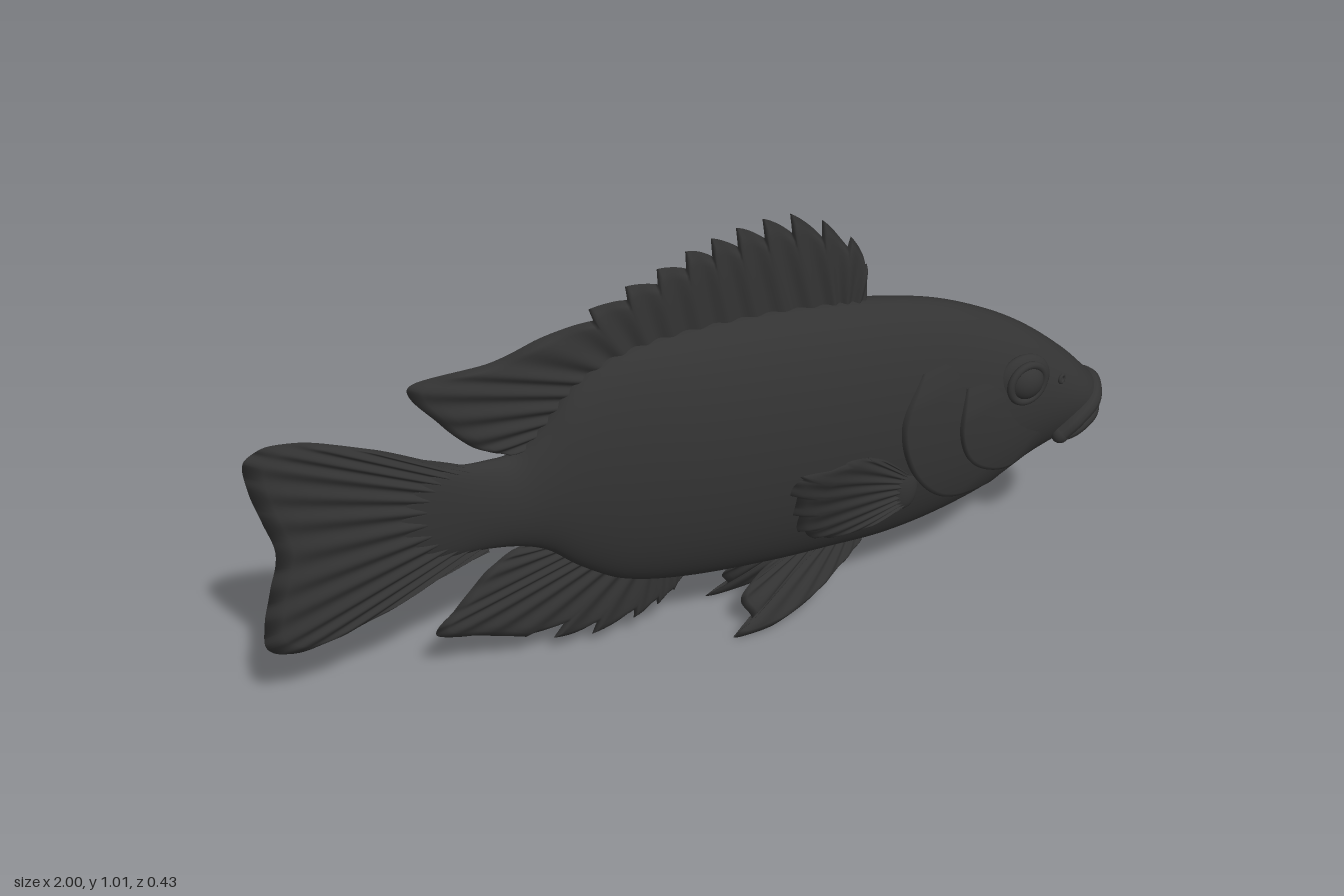
import * as THREE from 'three';
import { mergeVertices } from 'three/addons/utils/BufferGeometryUtils.js';

const skin = new THREE.MeshStandardMaterial({ color: 0x333333 });
skin.name = 'charcoal skin';

// Body stations: x, top, bottom, half width
const stations = [
  [-0.7, 0.5, 0.41, 0.004], [-0.62, 0.565, 0.35, 0.016], [-0.5, 0.565, 0.345, 0.038],
  [-0.43, 0.572, 0.335, 0.052], [-0.37, 0.63, 0.31, 0.064], [-0.3, 0.71, 0.25, 0.078],
  [-0.2, 0.765, 0.19, 0.097], [-0.05, 0.79, 0.16, 0.119], [0.15, 0.795, 0.15, 0.13],
  [0.3, 0.785, 0.152, 0.13], [0.43, 0.768, 0.155, 0.124], [0.57, 0.735, 0.18, 0.116],
  [0.7, 0.68, 0.225, 0.108], [0.8, 0.62, 0.285, 0.099], [0.9, 0.54, 0.33, 0.086],
  [0.95, 0.49, 0.358, 0.07], [0.98, 0.458, 0.385, 0.042],
];

// Smooth interpolation of one station column at x
function sample(x, col) {
  const n = stations.length;
  let i = 0;
  while (i < n - 2 && x > stations[i + 1][0]) i++;
  const slope = (k) => {
    const a = stations[Math.max(k - 1, 0)], b = stations[Math.min(k + 1, n - 1)];
    return (b[col] - a[col]) / (b[0] - a[0]);
  };
  const p = stations[i], q = stations[i + 1], d = q[0] - p[0];
  const t = (x - p[0]) / d, t2 = t * t, t3 = t2 * t;
  return (2 * t3 - 3 * t2 + 1) * p[col] + (t3 - 2 * t2 + t) * d * slope(i)
    + (3 * t2 - 2 * t3) * q[col] + (t3 - t2) * d * slope(i + 1);
}

// Half width of the body surface at a side position
function bodyZ(x, y) {
  const top = sample(x, 1), bottom = sample(x, 2);
  const k = (y - (top + bottom) / 2) / ((top - bottom) / 2);
  return sample(x, 3) * Math.sqrt(Math.max(0, 1 - k * k));
}

// Smooth surface from a rule over a grid
function gridMesh(name, nu, nv, rule, flip = false) {
  const pos = [], index = [];
  for (let i = 0; i <= nu; i++) for (let j = 0; j <= nv; j++) pos.push(...rule(i / nu, j / nv));
  for (let i = 0; i < nu; i++) for (let j = 0; j < nv; j++) {
    const a = i * (nv + 1) + j, b = a + nv + 1;
    if (flip) index.push(a, a + 1, b, b, a + 1, b + 1);
    else index.push(a, b, a + 1, b, b + 1, a + 1);
  }
  let geo = new THREE.BufferGeometry();
  geo.setAttribute('position', new THREE.Float32BufferAttribute(pos, 3));
  geo.setIndex(index);
  geo = mergeVertices(geo, 1e-5);
  geo.computeVertexNormals();
  return named(name, geo);
}

function named(name, geo) {
  const mesh = new THREE.Mesh(geo, skin);
  mesh.name = name;
  return mesh;
}

const curve = (pts) => new THREE.CatmullRomCurve3(pts.map(([x, y, z = 0]) => new THREE.Vector3(x, y, z)));

// Closed ribbed fin between a base line and an outer edge, with optional notched spines
function fin(name, base, edge, { rays = 12, half = 0.013, notch = 0, notchEnd = 1, side = 1, place = () => 0 }) {
  const b = curve(base), e = curve(edge);
  const b0 = b.getPoint(0), b1 = b.getPoint(1), bm = b.getPoint(0.5), em = e.getPoint(0.5);
  const turn = (b1.x - b0.x) * (em.y - bm.y) - (b1.y - b0.y) * (em.x - bm.x);
  return gridMesh(name, rays * 12, 24, (u, w) => {
    const v = 1 - Math.abs(2 * w - 1), f = (u * rays) % 1;
    const cut = u < notchEnd ? notch * Math.pow(1 - f, 1.5) * Math.min(1, u * 8) : 0;
    const p = b.getPoint(u).lerp(e.getPoint(u), v * (1 - cut));
    const rib = 0.7 + 0.3 * Math.cos(2 * Math.PI * f);
    const ends = Math.min(1, Math.sqrt(Math.min(u, 1 - u) * 25));
    const thick = half * rib * ends * Math.sqrt(1 - 0.96 * Math.pow(v, 5));
    return [p.x, p.y, side * (place(p.x, p.y) + (w < 0.5 ? thick : -thick))];
  }, (turn < 0) === (side > 0));
}

// Raised plate that follows the flank, lifted along its rear edge
function flankPlate(name, rear, front, lift, side) {
  const r = curve(rear), f = curve(front);
  return gridMesh(name, 36, 16, (u, w) => {
    const t = Math.max(0, (w - 0.08) / 0.92);
    const p = r.getPoint(u).lerp(f.getPoint(u), t);
    const rise = w === 0 ? -0.012 : lift * (1 - t) * Math.min(1, 0.2 + 5 * Math.min(u, 1 - u)) - 0.004 * t;
    return [p.x, p.y, side * (bodyZ(p.x, p.y) + rise)];
  }, side < 0);
}

const tube = (name, pts, radius) => named(name, new THREE.TubeGeometry(curve(pts), 40, radius, 10));

function ball(name, pos, scale) {
  const mesh = named(name, new THREE.SphereGeometry(1, 28, 18));
  mesh.position.set(...pos);
  mesh.scale.set(...scale);
  return mesh;
}

export function createModel() {
  const fish = new THREE.Group();
  fish.name = 'fish';

  // Body, closed at the nose
  const rows = 110;
  fish.add(gridMesh('body', rows, 56, (u, v) => {
    const x = -0.7 + 1.68 * Math.min(1, u * rows / (rows - 1)), s = u === 1 ? 0 : 1;
    const top = sample(x, 1), bottom = sample(x, 2), a = 2 * Math.PI * v - Math.PI / 2;
    return [x, (top + bottom) / 2 + s * Math.sin(a) * (top - bottom) / 2, s * Math.cos(a) * sample(x, 3)];
  }));

  // Fins on the centre line
  fish.add(fin('dorsalFin',
    [[0.38, 0.75], [0.3, 0.765], [0.1, 0.78], [-0.1, 0.765], [-0.25, 0.72], [-0.34, 0.64], [-0.41, 0.56]],
    [[0.385, 0.78], [0.375, 0.89], [0.3, 0.97], [0.205, 1.015], [0.125, 1.015], [0.05, 1.0], [-0.02, 0.98], [-0.1, 0.945],
      [-0.19, 0.91], [-0.3, 0.86], [-0.47, 0.8], [-0.65, 0.775], [-0.59, 0.68], [-0.52, 0.605], [-0.46, 0.575], [-0.41, 0.568]],
    { rays: 19, half: 0.015, notch: 0.2, notchEnd: 0.63 }));
  fish.add(fin('analFin',
    [[-0.04, 0.18], [-0.15, 0.2], [-0.25, 0.25], [-0.32, 0.3], [-0.38, 0.345]],
    [[-0.05, 0.15], [-0.09, 0.1], [-0.16, 0.065], [-0.3, 0.045], [-0.42, 0.08], [-0.53, 0.115], [-0.63, 0.145],
      [-0.58, 0.205], [-0.5, 0.29], [-0.43, 0.33], [-0.37, 0.338]],
    { rays: 14, notch: 0.2, notchEnd: 0.4 }));
  const tailTop = [[-0.56, 0.57], [-0.62, 0.593], [-0.74, 0.652], [-0.875, 0.7], [-0.955, 0.705], [-0.997, 0.68], [-0.995, 0.61], [-0.975, 0.53]];
  const flipY = ([x, y]) => [x, 0.89 - y];
  fish.add(fin('tailFin',
    [[-0.5, 0.555], [-0.52, 0.445], [-0.5, 0.335]],
    [...tailTop, [-0.955, 0.445], ...tailTop.map(flipY).reverse()],
    { rays: 16, half: 0.014 }));

  for (const side of [1, -1]) {
    const label = side > 0 ? 'left' : 'right';
    const at = (x, y, out) => [x, y, side * (bodyZ(x, y) + out)];

    // Paired fins
    fish.add(fin(label + 'PectoralFin',
      [[0.455, 0.375], [0.46, 0.33], [0.44, 0.28]],
      [[0.44, 0.385], [0.355, 0.455], [0.275, 0.49], [0.125, 0.49], [0.137, 0.4], [0.165, 0.31], [0.235, 0.26], [0.33, 0.25], [0.43, 0.275]],
      { rays: 11, half: 0.009, notch: 0.05, side,
        place: (x, y) => 0.107 + Math.min(1, Math.max(0, (0.46 - x) / 0.25)) * (0.022 + 0.34 * (y - 0.25)) }));
    fish.add(ball(label + 'PectoralRoot', at(0.445, 0.33, -0.006), [0.035, 0.055, 0.018]));
    fish.add(fin(label + 'PelvicFin',
      [[0.385, 0.175], [0.29, 0.175], [0.2, 0.175]],
      [[0.385, 0.155], [0.33, 0.115], [0.25, 0.06], [0.14, 0.015], [0.04, 0.01], [0.09, 0.04], [0.07, 0.085], [0.11, 0.125], [0.19, 0.16]],
      { rays: 9, half: 0.01, side, place: (x, y) => 0.025 + (0.165 - y) * 0.4 }));

    // Gill cover and cheek
    fish.add(flankPlate(label + 'GillCover',
      [[0.48, 0.62], [0.425, 0.51], [0.455, 0.38], [0.55, 0.28], [0.7, 0.255]],
      [[0.62, 0.64], [0.63, 0.54], [0.65, 0.46], [0.7, 0.4], [0.8, 0.35]], 0.013, side));
    fish.add(flankPlate(label + 'Cheek',
      [[0.59, 0.56], [0.575, 0.45], [0.61, 0.365], [0.7, 0.315], [0.79, 0.325]],
      [[0.72, 0.56], [0.74, 0.5], [0.77, 0.46], [0.8, 0.43], [0.84, 0.4]], 0.012, side));

    // Eye with raised rim
    fish.add(ball(label + 'EyeSocket', at(0.745, 0.54, -0.006), [0.066, 0.064, 0.024]));
    fish.add(ball(label + 'Eye', at(0.745, 0.54, 0.004), [0.043, 0.043, 0.032]));
    const rim = named(label + 'EyeRim', new THREE.TorusGeometry(0.046, 0.009, 10, 36));
    rim.position.set(...at(0.745, 0.54, 0.014));
    rim.rotation.y = side * 0.12;
    fish.add(rim);

    // Nostril
    const nostril = named(label + 'Nostril', new THREE.TorusGeometry(0.009, 0.004, 8, 16));
    nostril.position.set(...at(0.85, 0.515, 0.002));
    nostril.rotation.y = side * 0.5;
    fish.add(nostril);
  }

  // Lips
  const lip = (pts) => [...pts, ...pts.slice(0, -1).reverse().map(([x, y, z]) => [x, y, -z])];
  fish.add(tube('upperLip', lip([[0.865, 0.365, 0.078], [0.9, 0.395, 0.081], [0.95, 0.428, 0.062], [0.976, 0.447, 0]]), 0.021));
  fish.add(tube('lowerLip', lip([[0.865, 0.355, 0.07], [0.9, 0.363, 0.072], [0.955, 0.386, 0.052], [0.98, 0.398, 0]]), 0.019));
  for (const s of [1, -1]) fish.add(ball('mouthCorner', [0.865, 0.36, s * 0.075], [0.022, 0.024, 0.02]));

  return fish;
}
